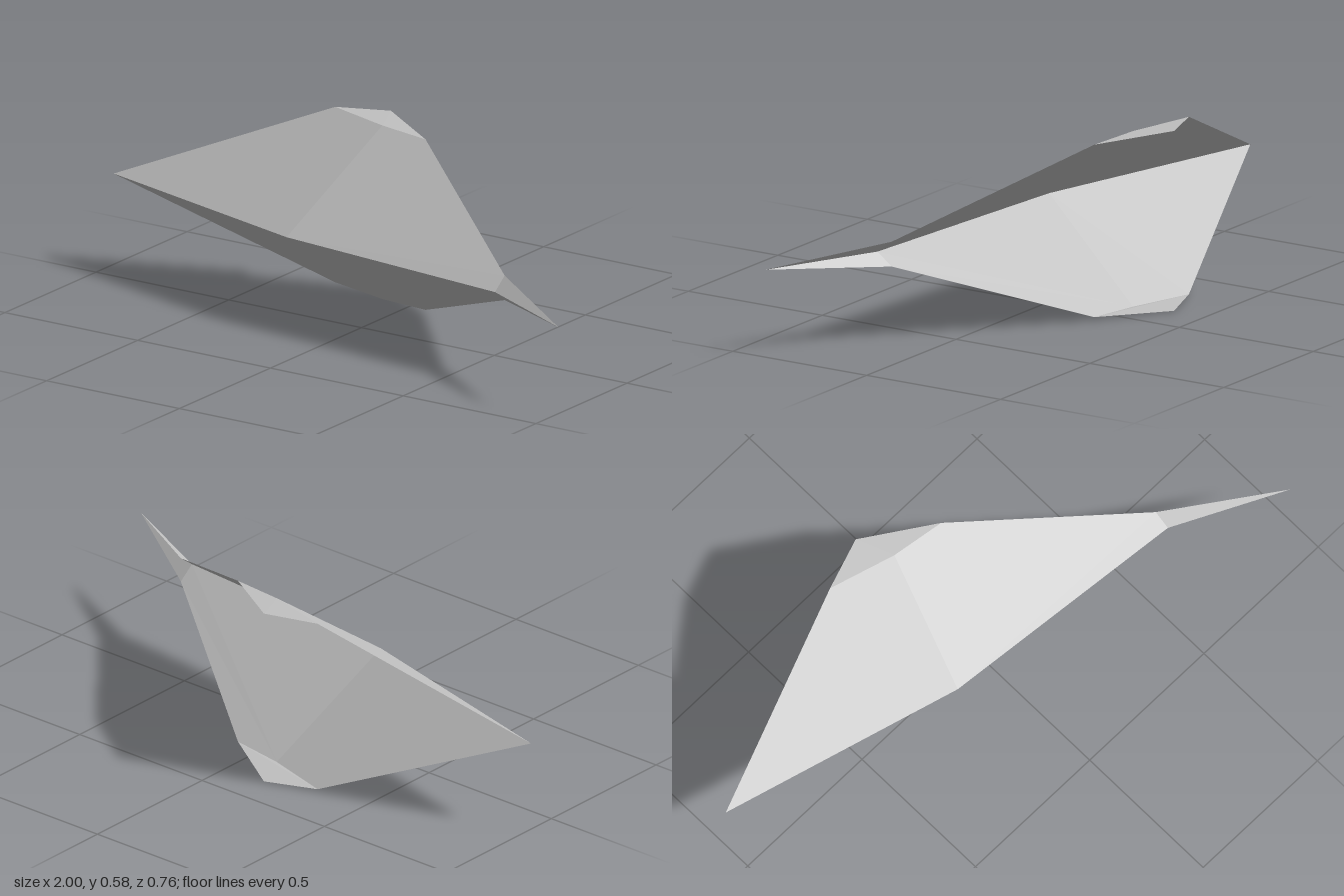
import * as THREE from 'three';

// Outline points [x, distance from the fold plane, z]
const P = {
  tail: [-1, 0, -0.097], keel: [-0.2, 0, 0.12], neck: [0.64, 0, 0.2], beak: [1, 0, 0.377],
  neckEdge: [0.64, 0.04, 0.147], tipFront: [0.08, 0.278, -0.235], tipFold: [-0.1, 0.283, -0.26],
  tipPoint: [-0.15, 0.29, -0.38], tipBack: [-0.32, 0.286, -0.322],
};

// Flat facets of one folded side
const PANELS = {
  rearWing: ['tail', 'keel', 'tipFold', 'tipBack'],
  frontWing: ['keel', 'neck', 'neckEdge', 'tipFront', 'tipFold'],
  head: ['neck', 'beak', 'neckEdge'],
  wingTip: ['tipFold', 'tipFront', 'tipPoint', 'tipBack'],
};

// Fan of triangles for one facet; side is +1 (upper) or -1 (lower)
function panel(names, side) {
  const pts = names.map((n) => {
    const [x, h, z] = P[n];
    return [x, 0.29 - 0.007 * x + side * h, z];
  });
  if (side < 0) pts.reverse();
  const pos = [];
  for (let i = 1; i < pts.length - 1; i++) pos.push(...pts[0], ...pts[i], ...pts[i + 1]);
  const geo = new THREE.BufferGeometry();
  geo.setAttribute('position', new THREE.Float32BufferAttribute(pos, 3));
  geo.computeVertexNormals();
  return geo;
}

export function createModel() {
  const paper = new THREE.MeshStandardMaterial({ color: 0xc0c0c0, side: THREE.DoubleSide, flatShading: true });
  paper.name = 'grey paper';
  const model = new THREE.Group();
  model.name = 'foldedBird';
  // Two mirrored sides meeting along the keel
  for (const side of [1, -1]) {
    const half = new THREE.Group();
    half.name = side > 0 ? 'upperSide' : 'lowerSide';
    for (const [name, names] of Object.entries(PANELS)) {
      const mesh = new THREE.Mesh(panel(names, side), paper);
      mesh.name = name;
      half.add(mesh);
    }
    model.add(half);
  }
  return model;
}
